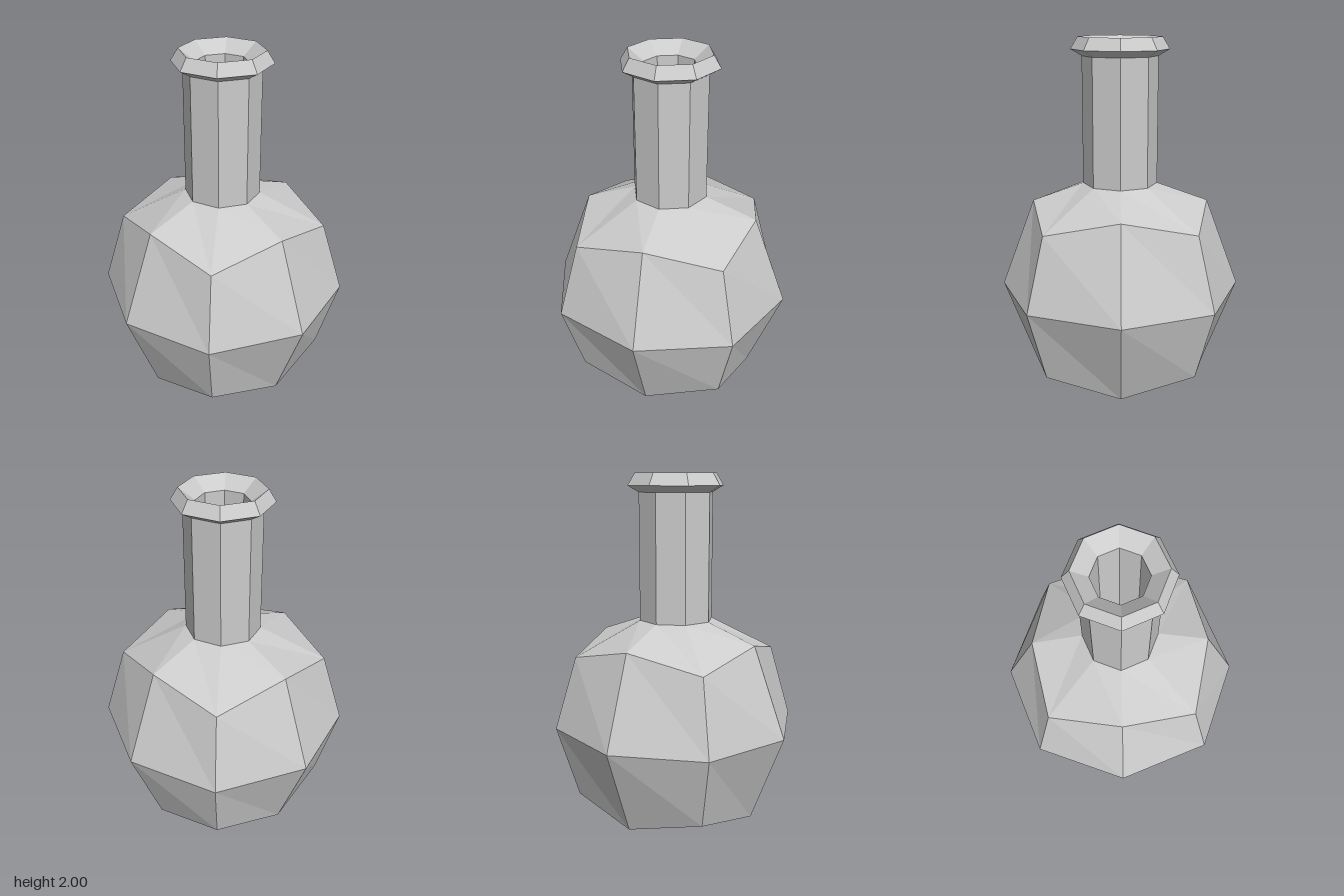
import * as THREE from 'three';

const SIDES = 8;
const grey = new THREE.MeshStandardMaterial({ color: 0xcccccc, flatShading: true });
const red = new THREE.MeshStandardMaterial({ color: 0xb02020, flatShading: true });

// Eight-sided turned shape; corners lie on the x and z axes
function turned(name, profile, material = grey) {
  const points = profile.map(([r, y]) => new THREE.Vector2(r, y));
  const mesh = new THREE.Mesh(new THREE.LatheGeometry(points, SIDES), material);
  mesh.name = name;
  return mesh;
}

// Faceted bulb: a rounded cube, so the diagonal columns use their own profile
function makeBulb() {
  const axis = [[0, 0], [0.485, 0.137], [0.67, 0.62], [0.485, 1.11], [0.205, 1.21]];
  const diagonal = [[0, 0], [0.566, 0.222], [0.686, 0.62], [0.566, 1.02], [0.205, 1.21]];
  const bulb = turned('bulb', axis);
  const pos = bulb.geometry.attributes.position;
  for (let i = 1; i < SIDES; i += 2) {
    const a = (i / SIDES) * Math.PI * 2;
    diagonal.forEach(([r, y], j) => {
      pos.setXYZ(i * axis.length + j, r * Math.sin(a), y, r * Math.cos(a));
    });
  }
  bulb.geometry.computeVertexNormals();
  return bulb;
}

export function createModel() {
  const flask = new THREE.Group();
  flask.name = 'flask';
  flask.add(
    makeBulb(),
    turned('neck', [[0.205, 1.21], [0.205, 1.9]]),
    // Flared lip, sloping in to the mouth
    turned('lip', [[0.205, 1.9], [0.265, 1.935], [0.225, 2], [0.14, 1.935]]),
    turned('neckBore', [[0.14, 1.935], [0.14, 1.21]]),
    // Liquid surface closing the bore
    turned('liquid', [[0.14, 1.21], [0, 1.21]], red)
  );
  return flask;
}
